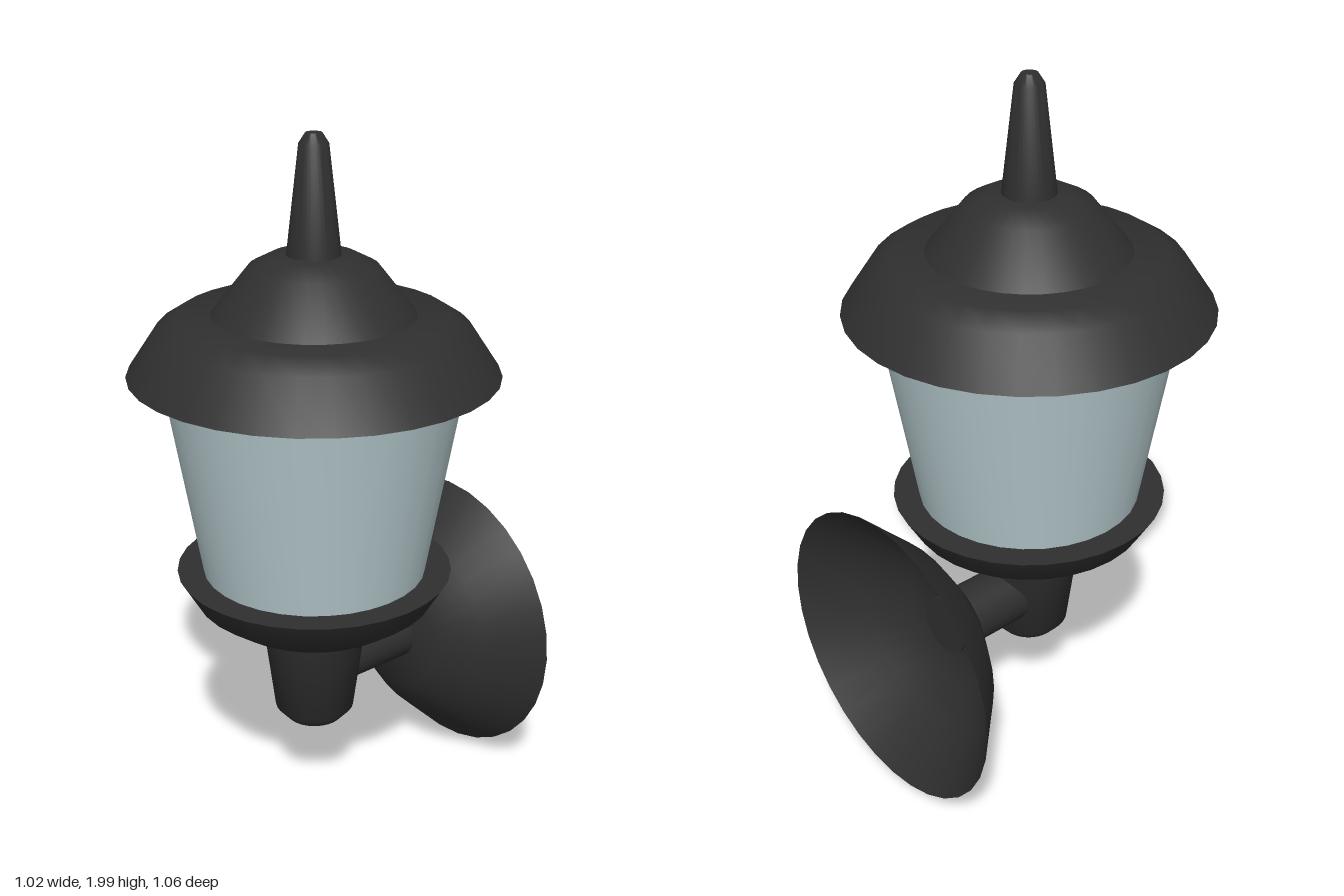
import * as THREE from 'three';
import { toCreasedNormals } from 'three/addons/utils/BufferGeometryUtils.js';

const SIDES = 32;

// Turned part from [radius, height] pairs, bottom to top, with sharp edges kept
function turned(name, material, profile) {
  const points = profile.map(([r, y]) => new THREE.Vector2(r, y));
  const geometry = toCreasedNormals(new THREE.LatheGeometry(points, SIDES), 0.7);
  const mesh = new THREE.Mesh(geometry, material);
  mesh.name = name;
  return mesh;
}

export function createModel() {
  const model = new THREE.Group();
  model.name = 'wallLantern';

  const metal = new THREE.MeshStandardMaterial({ color: 0x2f2f2f });
  metal.name = 'black metal';
  const shell = new THREE.MeshStandardMaterial({ color: 0x2f2f2f, side: THREE.DoubleSide });
  shell.name = 'black metal shell';
  const glass = new THREE.MeshStandardMaterial({ color: 0xb5c9cd });
  glass.name = 'frosted glass';

  // Lantern, stacked on one vertical axis
  const lantern = new THREE.Group();
  lantern.name = 'lantern';
  lantern.position.set(-0.002, 0, 0.018);
  lantern.add(
    turned('stem', metal, [[0, 0.283], [0.085, 0.283], [0.116, 0.318], [0.157, 0.64], [0, 0.64]]),
    turned('tray', metal, [[0, 0.635], [0.267, 0.635], [0.342, 0.69], [0.392, 0.775], [0, 0.775]]),
    turned('glassShade', glass, [[0.317, 0.77], [0.418, 1.365]]),
    turned('roof', metal, [[0, 1.36], [0.51, 1.36], [0.425, 1.487], [0.37, 1.522], [0, 1.522]]),
    turned('roofCap', metal, [[0.28, 1.52], [0.175, 1.652], [0.115, 1.683], [0, 1.683]]),
    turned('finial', metal, [[0.074, 1.68], [0.04, 1.972], [0.022, 2], [0, 2]]),
  );
  model.add(lantern);

  // Wall mount, turned on a horizontal axis: profile height runs along z
  const mount = new THREE.Group();
  mount.name = 'wallMount';
  mount.position.set(-0.013, 0.445, 0);
  mount.rotation.x = Math.PI / 2;
  mount.add(
    turned('wallPlate', shell, [[0.437, -0.528], [0.3, -0.387], [0.18, -0.31], [0, -0.31]]),
    turned('arm', metal, [[0, -0.318], [0.087, -0.318], [0.087, -0.06], [0, -0.06]]),
  );
  model.add(mount);

  return model;
}
